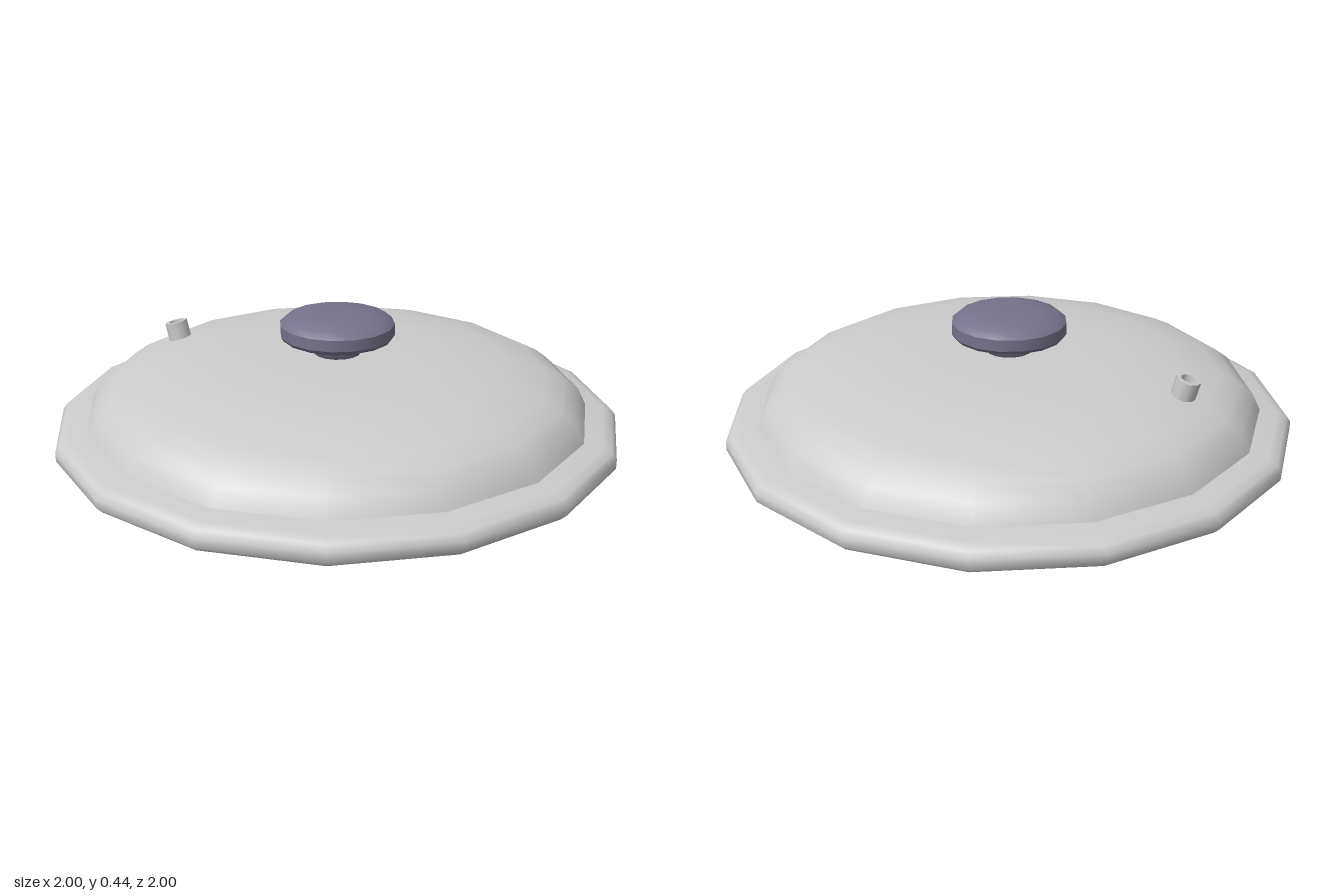
import * as THREE from 'three';

const TURN = 0.07; // slight turn of the whole lid about its axis

export function createModel() {
  const lid = new THREE.Group();
  lid.name = 'potLid';
  const metal = new THREE.MeshStandardMaterial({ color: 0xcccccc, side: THREE.DoubleSide });
  const plastic = new THREE.MeshStandardMaterial({ color: 0x77728a, side: THREE.DoubleSide });

  // revolves a list of [radius, height] pairs, listed from bottom to top
  const lathe = (name, profile, sides, material, start = 0) => {
    const points = profile.map(([r, y]) => new THREE.Vector2(r, y));
    const mesh = new THREE.Mesh(new THREE.LatheGeometry(points, sides, start), material);
    mesh.name = name;
    return mesh;
  };

  // rolled rim, open underneath
  lid.add(lathe('rim', [
    [0.95, 0], [0.98, 0.01], [1, 0.03], [1, 0.06], [0.985, 0.08], [0.955, 0.092], [0.89, 0.1],
  ], 16, metal, TURN));

  // hollow dome
  lid.add(lathe('dome', [
    [0.89, 0.1], [0.86, 0.16], [0.81, 0.197], [0.745, 0.23], [0.6, 0.268], [0.4, 0.285], [0.2, 0.289], [0, 0.29],
  ], 16, metal, TURN));

  // knob on a short stem that passes through the dome
  lid.add(lathe('knobStem', [[0, 0.28], [0.083, 0.28], [0.083, 0.33]], 16, plastic));
  lid.add(lathe('knobUnderside', [[0, 0.32], [0.09, 0.32], [0.15, 0.33], [0.195, 0.348], [0.203, 0.36]], 16, plastic));
  lid.add(lathe('knobSide', [[0.203, 0.36], [0.203, 0.4]], 16, plastic));
  lid.add(lathe('knobTop', [[0.203, 0.4], [0.18, 0.42], [0.13, 0.435], [0.07, 0.44], [0, 0.44]], 16, plastic));

  // steam vent: a short tube standing square to the sloping dome
  const vent = new THREE.Group();
  vent.name = 'steamVent';
  vent.add(
    lathe('ventOuterWall', [[0.042, -0.03], [0.042, 0.055]], 10, metal),
    lathe('ventTopEdge', [[0.042, 0.055], [0.026, 0.055]], 10, metal),
    lathe('ventInnerWall', [[0.026, 0.055], [0.026, -0.03]], 10, metal),
    lathe('ventBottomEdge', [[0.026, -0.03], [0.042, -0.03]], 10, metal),
  );
  vent.position.set(-0.295, 0.262, -0.585);
  vent.quaternion.setFromUnitVectors(
    new THREE.Vector3(0, 1, 0),
    new THREE.Vector3(-0.11, 1, -0.22).normalize(),
  );
  lid.add(vent);

  return lid;
}
